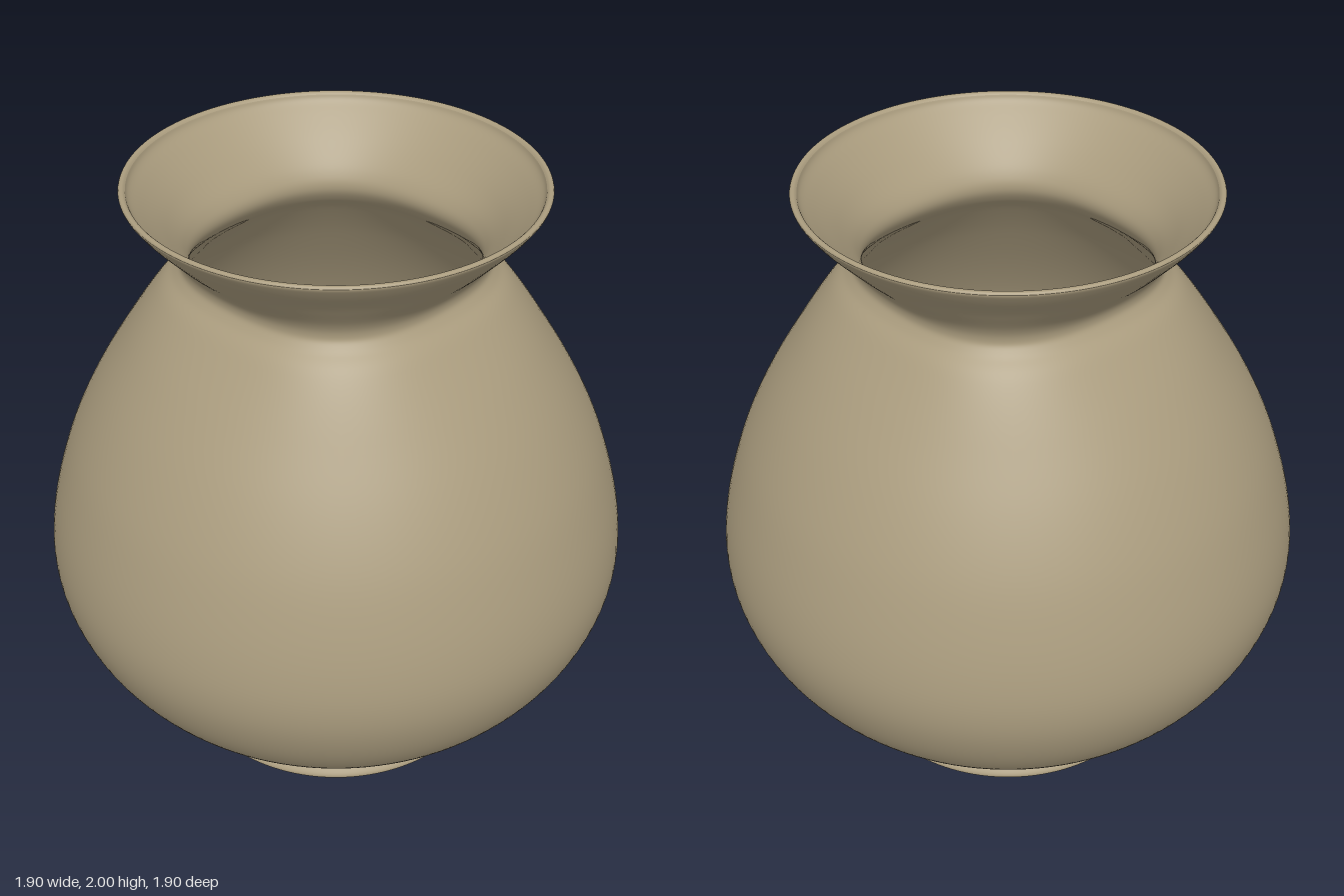
import * as THREE from 'three';
import { mergeVertices } from 'three/addons/utils/BufferGeometryUtils.js';

const NECK_Y = 1.745;

// Smooth profile through a few [radius, height] points
const curve = (pts, n) =>
  new THREE.SplineCurve(pts.map(([r, y]) => new THREE.Vector2(r, y))).getPoints(n);

// Turn a profile, then push the neck towards a rounded square
function turn(points) {
  let geo = new THREE.LatheGeometry(points, 128);
  geo.deleteAttribute('uv');
  geo.deleteAttribute('normal');
  const p = geo.attributes.position;
  for (let i = 0; i < p.count; i++) {
    const x = p.getX(i), y = p.getY(i), z = p.getZ(i);
    const width = y > NECK_Y ? 0.1 : 0.2;
    const weight = Math.exp(-(((y - NECK_Y) / width) ** 2));
    const s = 1 + 0.035 * weight * (1 - Math.cos(4 * Math.atan2(z, x)));
    p.setXYZ(i, x * s, y, z * s);
  }
  geo = mergeVertices(geo, 1e-5);
  geo.computeVertexNormals();
  return geo;
}

export function createModel() {
  const group = new THREE.Group();
  group.name = 'vase';
  const clay = new THREE.MeshStandardMaterial({ color: 0xaa9c7e });
  const add = (name, points) => {
    const mesh = new THREE.Mesh(turn(points), clay);
    mesh.name = name;
    group.add(mesh);
  };

  // Underside of the foot
  add('base', [[0, 0], [0.35, 0.002], [0.48, 0.008], [0.52, 0.017]].map(([r, y]) => new THREE.Vector2(r, y)));

  // Foot, belly, shoulder, neck and flared lip
  add('outerWall', curve([
    [0.52, 0.017], [0.535, 0.035], [0.515, 0.067], [0.497, 0.1], [0.52, 0.135],
    [0.6, 0.188], [0.7, 0.26], [0.8, 0.357], [0.88, 0.475], [0.93, 0.6],
    [0.948, 0.72], [0.937, 0.85], [0.9, 1.0], [0.84, 1.165], [0.75, 1.34],
    [0.64, 1.505], [0.52, 1.655], [0.463, 1.71], [0.445, 1.745], [0.463, 1.79],
    [0.53, 1.86], [0.6, 1.935], [0.635, 1.98], [0.641, 1.994],
  ], 160));

  // Narrow flat rim
  add('rim', curve([[0.641, 1.994], [0.637, 2], [0.627, 2], [0.62, 1.994]], 8));

  // Hollow inside, from the lip down to the floor
  add('innerWall', curve([
    [0.62, 1.994], [0.61, 1.975], [0.575, 1.94], [0.5, 1.865], [0.436, 1.795],
    [0.416, 1.745], [0.438, 1.695], [0.495, 1.635], [0.615, 1.49], [0.72, 1.33],
    [0.81, 1.155], [0.87, 0.99], [0.907, 0.85], [0.918, 0.72], [0.9, 0.605],
    [0.852, 0.49], [0.775, 0.376], [0.68, 0.283], [0.58, 0.21], [0.48, 0.15],
  ], 120));

  // Floor inside
  add('innerFloor', [new THREE.Vector2(0.48, 0.15), new THREE.Vector2(0, 0.15)]);

  return group;
}
